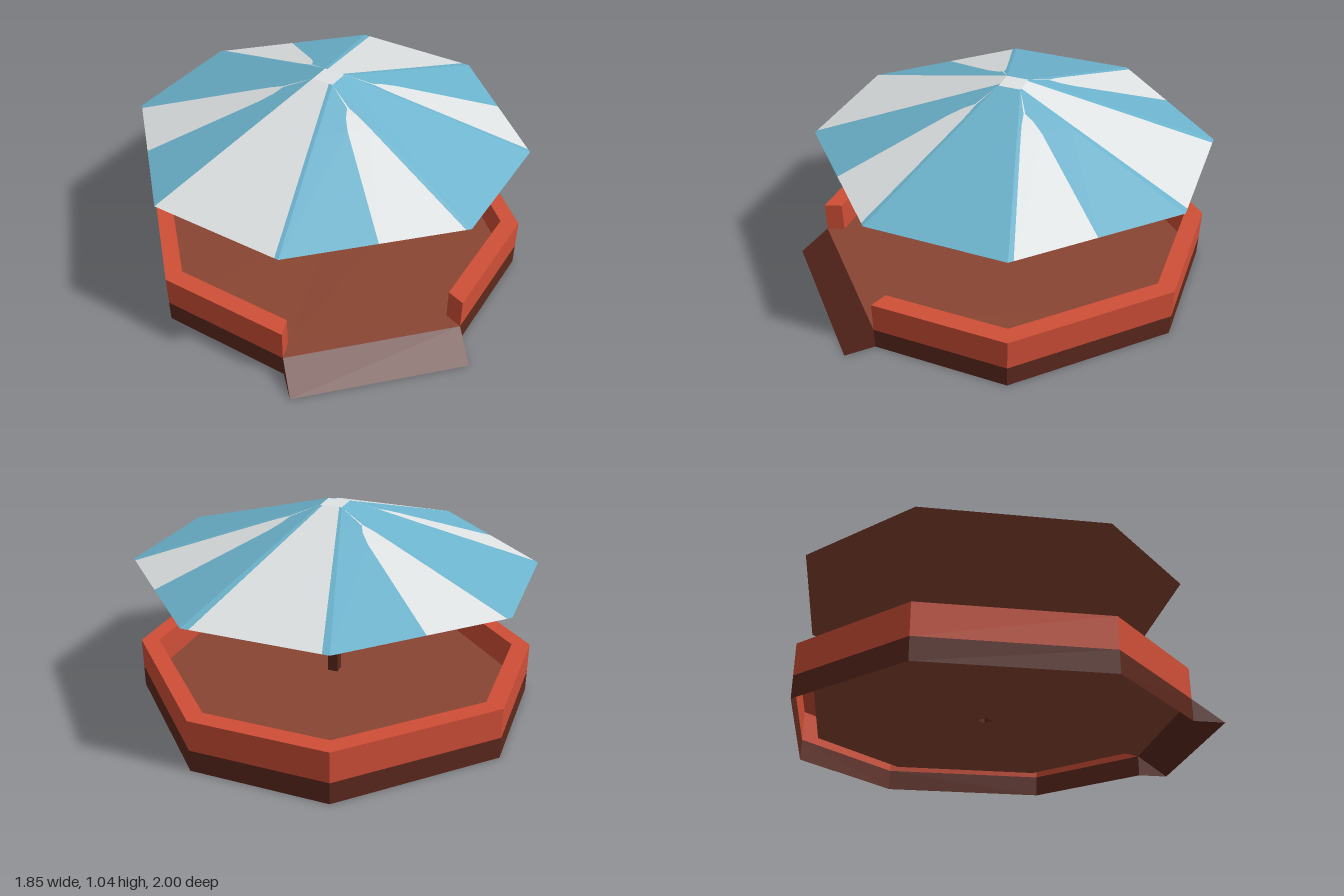
import * as THREE from 'three';

const H = 0.437, A = 0.9225, ZC = -0.0775; // octagon half side, half width, centre z
const FLOOR_Y = 0.11, WALL_TOP = 0.267, RIM_Y = 0.73, PEAK_Y = 1.037;
const INNER = 0.908, POLE_R = 0.037;

// Octagon corners, counter-clockwise seen from above, as [x, z]
const CORNERS = [[-H, A], [H, A], [A, H], [A, -H], [H, -A], [-H, -A], [-A, -H], [-A, H]];

const paint = (name, color) => {
  const m = new THREE.MeshStandardMaterial({ color, flatShading: true, side: THREE.DoubleSide });
  m.name = name;
  return m;
};

// Octagon corner i at a height
const corner = (i, y, scale = 1) => {
  const [x, z] = CORNERS[i % 8];
  return new THREE.Vector3(x * scale, y, z * scale + ZC);
};

// Flat horizontal sheet from [x, z] points, facing up
function sheet(points, y, hole) {
  const plan = (list) => list.map(([x, z]) => new THREE.Vector2(x, -z));
  const shape = new THREE.Shape(plan(points));
  if (hole) shape.holes.push(new THREE.Path(plan(hole)));
  return new THREE.ShapeGeometry(shape).rotateX(-Math.PI / 2).translate(0, y, ZC);
}

// Collects quads (a, b, c, d counter-clockwise) into one geometry
function quadGeometry(quads) {
  const pos = [];
  for (const [a, b, c, d] of quads) for (const p of [a, b, c, a, c, d]) pos.push(p.x, p.y, p.z);
  const g = new THREE.BufferGeometry();
  g.setAttribute('position', new THREE.Float32BufferAttribute(pos, 3));
  g.computeVertexNormals();
  return g;
}

export function createModel() {
  const model = new THREE.Group();
  const darkWood = paint('dark brown', 0x5e291d);
  const wallRed = paint('brick red', 0xd04f37);
  const floorBrown = paint('floor brown', 0x8a4532);
  const blue = paint('canopy blue', 0x6cb3cd);
  const grey = paint('canopy pale grey', 0xdfe3e3);

  const add = (name, geometry, material) => {
    const mesh = new THREE.Mesh(geometry, material);
    mesh.name = name;
    model.add(mesh);
  };

  // Base band and hollow wall around seven sides, open below and at the front
  const band = [], wall = [];
  for (let i = 1; i < 8; i++) {
    const j = i + 1;
    band.push([corner(i, 0), corner(j, 0), corner(j, FLOOR_Y), corner(i, FLOOR_Y)]);
    wall.push(
      [corner(i, FLOOR_Y), corner(j, FLOOR_Y), corner(j, WALL_TOP), corner(i, WALL_TOP)],
      [corner(i, WALL_TOP), corner(j, WALL_TOP), corner(j, WALL_TOP, INNER), corner(i, WALL_TOP, INNER)],
      [corner(j, FLOOR_Y, INNER), corner(i, FLOOR_Y, INNER), corner(i, WALL_TOP, INNER), corner(j, WALL_TOP, INNER)]);
  }
  // Wall ends beside the opening
  const wallEnd = (i, a, b) => [corner(i, FLOOR_Y, a), corner(i, FLOOR_Y, b), corner(i, WALL_TOP, b), corner(i, WALL_TOP, a)];
  wall.push(wallEnd(1, INNER, 1), wallEnd(0, 1, INNER));
  add('baseBand', quadGeometry(band), darkWood);
  add('wall', quadGeometry(wall), wallRed);

  // Floor sheet inside the wall, reaching the ramp, with a hole for the pole
  const inner = CORNERS.map(([x, z]) => [x * INNER, z * INNER]);
  const poleHole = [[0, POLE_R], [-POLE_R, 0], [0, -POLE_R], [POLE_R, 0]];
  add('floor', sheet([CORNERS[0], CORNERS[1], ...inner.slice(1), inner[0]], FLOOR_Y, poleHole), floorBrown);

  // Entry ramp: slope and two triangular cheeks
  const toe = (x) => new THREE.Vector3(x, 0, 1);
  const foot = (i) => corner(i, 0), head = (i) => corner(i, FLOOR_Y);
  add('ramp', quadGeometry([
    [toe(-H), toe(H), head(1), head(0)],
    [toe(H), foot(1), head(1), head(1)],
    [foot(0), toe(-H), head(0), head(0)]]), darkWood);

  // Hollow four-sided pole standing on its corner
  const poleHeight = RIM_Y - FLOOR_Y;
  add('pole', new THREE.CylinderGeometry(POLE_R, POLE_R, poleHeight, 4, 1, true)
    .translate(0, FLOOR_Y + poleHeight / 2, ZC), darkWood);

  // Canopy: octagonal rim narrowing to a small diamond
  const R = 0.08;
  const rim = CORNERS.map((_, i) => corner(i, RIM_Y));
  const peak = [[0, R], [R, 0], [0, -R], [-R, 0]].map(([x, z]) => new THREE.Vector3(x, PEAK_Y, z + ZC));
  const blueQuads = [], greyQuads = [];

  // Rows of [height fraction, stripe start, stripe end] across a panel
  const half = [[0, 0.51, 0.97], [0.68, 0.535, 0.93], [0.77, 0.6, 0.9], [0.83, 0.76, 0.82], [1, 0.79, 0.79]];
  const mirrored = half.map(([t, l, r]) => [t, 1 - r, 1 - l]);
  const backStripe = [[0, 0.06, 0.95], [1, 0.12, 0.88]];
  const frontStripe = [[0, 0, 0.97], [1, 0, 0.82]];
  const plain = [[0, 0, 0], [1, 0, 0]];
  const panels = [half, plain, mirrored, backStripe, half, plain, mirrored, frontStripe];

  panels.forEach((rows, i) => {
    const j = (i + 1) % 8;
    const at = (u, t) => rim[i].clone().lerp(rim[j], u)
      .lerp(peak[i >> 1].clone().lerp(peak[j >> 1], u), t);
    for (let k = 0; k + 1 < rows.length; k++) {
      const [t0, l0, r0] = rows[k], [t1, l1, r1] = rows[k + 1];
      const cell = (a0, b0, a1, b1) => [at(a0, t0), at(b0, t0), at(b1, t1), at(a1, t1)];
      if (l0 > 0) blueQuads.push(cell(0, l0, 0, l1));
      blueQuads.push(cell(r0, 1, r1, 1));
      if (r0 > l0) greyQuads.push(cell(l0, r0, l1, r1));
    }
  });
  greyQuads.push(peak); // flat top
  add('canopyBlue', quadGeometry(blueQuads), blue);
  add('canopyStripes', quadGeometry(greyQuads), grey);

  // Flat canopy underside
  add('canopyUnderside', sheet(CORNERS, RIM_Y, poleHole), floorBrown);

  return model;
}
